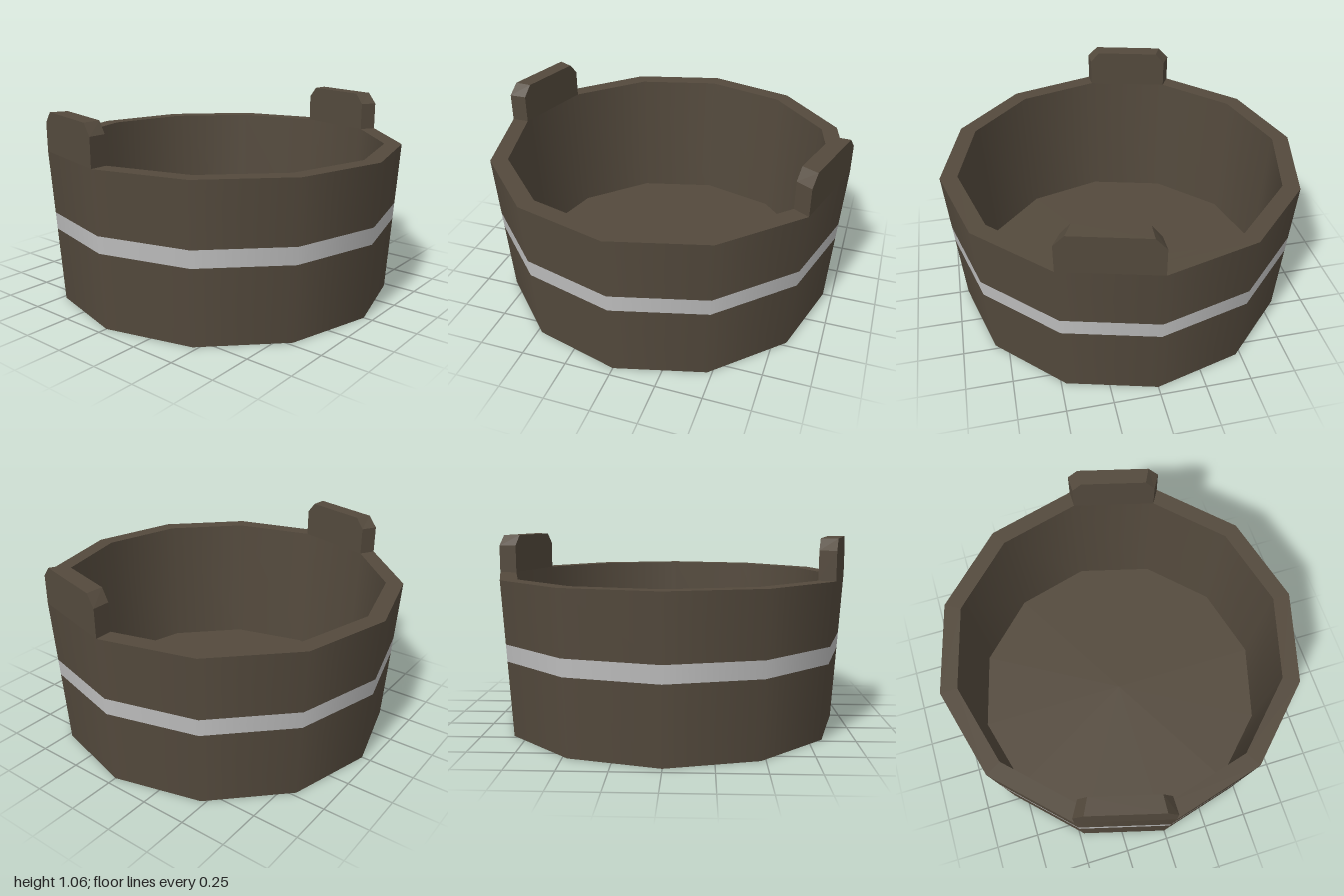
import * as THREE from 'three';

const SIDES = 12, HEIGHT = 0.845, FLOOR = 0.07;
const R_BOTTOM = 0.95, R_TOP = 1, R_IN_TOP = 0.905, R_IN_FLOOR = 0.873;

export function createModel() {
  const wood = new THREE.MeshStandardMaterial({ color: 0x544a3d });
  wood.name = 'dark wood';
  const metal = new THREE.MeshStandardMaterial({ color: 0xbfbfbf });
  metal.name = 'pale metal';

  const group = new THREE.Group();
  group.name = 'tub';

  const add = (name, geometry, material) => {
    const mesh = new THREE.Mesh(geometry, material);
    mesh.name = name;
    group.add(mesh);
    return mesh;
  };

  // One twelve-sided strip between two profile points [radius, y]
  const strip = (name, a, b, material = wood) =>
    add(name, new THREE.LatheGeometry([new THREE.Vector2(...a), new THREE.Vector2(...b)], SIDES), material);

  // Point on the tapered outer wall
  const wall = (y) => [THREE.MathUtils.lerp(R_BOTTOM, R_TOP, y / HEIGHT), y];

  strip('underside', [0, 0], wall(0));
  strip('lowerOuterWall', wall(0), wall(0.412));
  strip('hoop', wall(0.412), wall(0.505), metal);
  strip('upperOuterWall', wall(0.505), wall(HEIGHT));
  strip('rim', wall(HEIGHT), [R_IN_TOP, HEIGHT]);
  strip('innerWall', [R_IN_TOP, HEIGHT], [R_IN_FLOOR, FLOOR]);
  strip('innerFloor', [R_IN_FLOOR, FLOOR], [0, FLOOR]);

  // Handle: chamfered tab (x runs 0..1 along one side, z 0..1 from inner to outer edge)
  const tab = new THREE.Shape([
    [0, HEIGHT], [1, HEIGHT], [1, 1], [0.89, 1.06], [0.11, 1.06], [0, 1],
  ].map(([x, y]) => new THREE.Vector2(x, y)));
  const handle = new THREE.ExtrudeGeometry(tab, { depth: 1, bevelEnabled: false });
  const pos = handle.attributes.position;
  const angle = (2 * Math.PI) / SIDES;
  for (let i = 0; i < pos.count; i++) {
    const t = pos.getX(i), r = THREE.MathUtils.lerp(R_IN_TOP, R_TOP, pos.getZ(i));
    const x = -Math.sin(angle) * (1 - t);
    const z = THREE.MathUtils.lerp(Math.cos(angle), 1, t);
    pos.setXYZ(i, x * r, pos.getY(i), z * r);
  }
  handle.computeVertexNormals();

  add('frontHandle', handle, wood);
  add('backHandle', handle, wood).rotation.y = Math.PI;

  return group;
}
